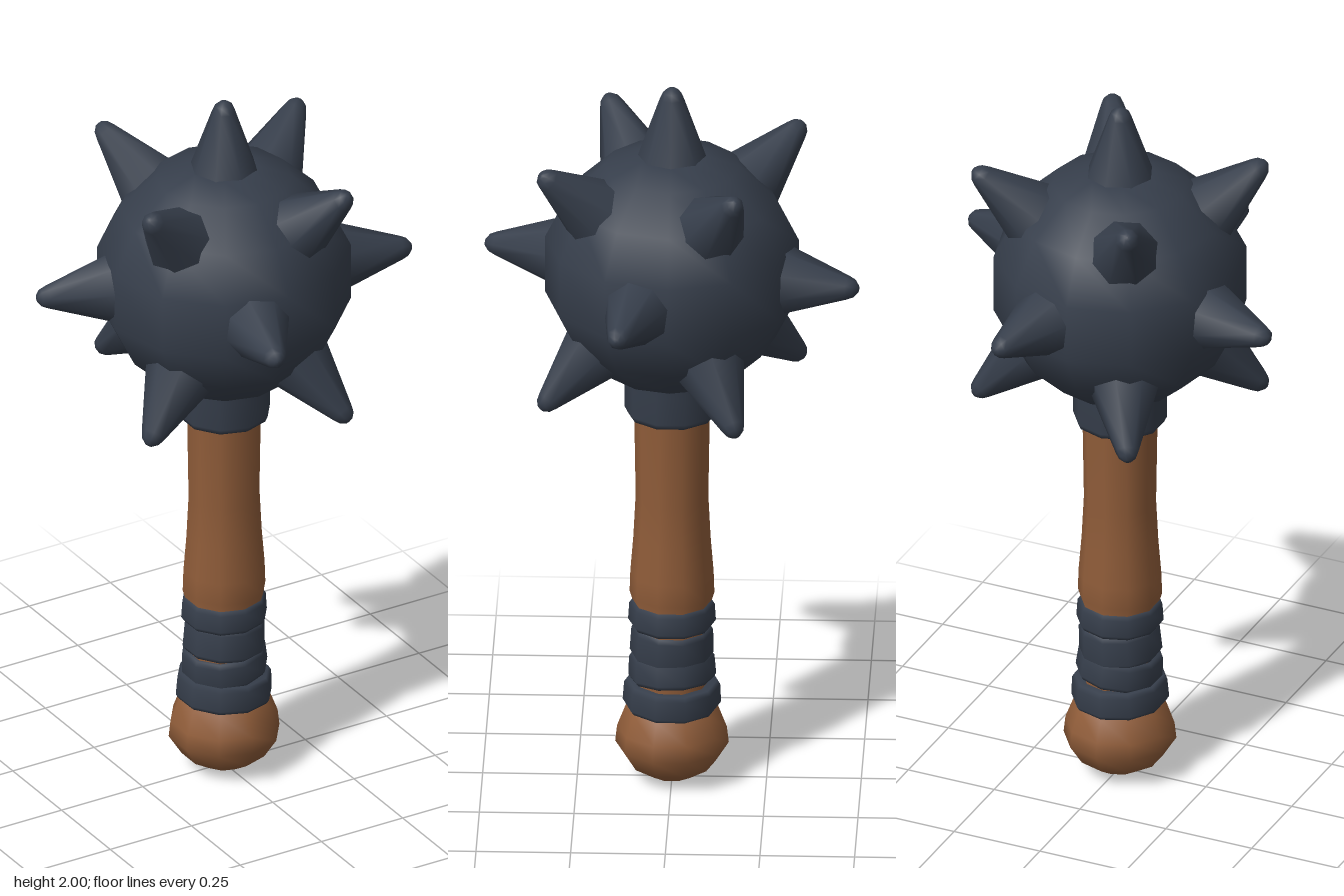
import * as THREE from 'three';

export function createModel() {
  const iron = new THREE.MeshStandardMaterial({ color: 0x363e4b });
  iron.name = 'dark iron';
  const wood = new THREE.MeshStandardMaterial({ color: 0x8f5c39 });
  wood.name = 'brown wood';
  const group = new THREE.Group();
  group.name = 'spikedMace';

  // Turned part from [radius, height] pairs, bottom to top
  const turned = (points, sides) =>
    new THREE.LatheGeometry(points.map(([r, y]) => new THREE.Vector2(r, y)), sides);
  const add = (name, geometry, material, y = 0) => {
    const mesh = new THREE.Mesh(geometry, material);
    mesh.name = name;
    mesh.position.y = y;
    group.add(mesh);
    return mesh;
  };

  // Wooden pommel and shaft
  add('pommel', turned([[0, 0.005], [0.06, 0.015], [0.115, 0.05], [0.15, 0.105],
    [0.145, 0.15], [0.122, 0.21], [0.09, 0.24]], 10), wood);
  add('shaft', turned([[0.1, 0.2], [0.1, 0.5], [0.112, 0.54], [0.11, 0.6],
    [0.102, 0.7], [0.096, 0.82], [0.1, 1.07], [0.1, 1.12]], 10), wood);

  // Grip bindings: [middle height, height, radius, tilt]
  const bands = [[0.25, 0.075, 0.13, -0.04], [0.328, 0.075, 0.116, 0.09],
    [0.402, 0.09, 0.111, -0.06], [0.483, 0.07, 0.116, 0]];
  bands.forEach(([y, h, r, tilt], i) => {
    const band = add('gripBand' + (i + 1), turned([[0.09, -h / 2], [r - 0.008, -h / 2],
      [r, -h / 2 + 0.012], [r - 0.003, h / 2 - 0.012], [r - 0.011, h / 2], [0.09, h / 2]], 10), iron, y);
    band.rotation.set(tilt * 0.4, 0, tilt);
  });

  // Collar below the head
  add('collar', turned([[0.09, 1.06], [0.118, 1.06], [0.125, 1.075], [0.125, 1.15],
    [0.13, 1.22]], 10), iron);

  // Faceted ball
  const headY = 1.485;
  add('head', turned([[0, -0.325], [0.09, -0.32], [0.18, -0.29], [0.275, -0.2], [0.335, -0.08],
    [0.335, 0.08], [0.275, 0.2], [0.18, 0.29], [0.09, 0.32], [0, 0.325]], 12), iron, headY);

  // Blunt spikes: one on top, then three rings of four
  const spikeShape = turned([[0.112, 0.27], [0.09, 0.32], [0.032, 0.485],
    [0.024, 0.503], [0.01, 0.514], [0, 0.515]], 8);
  const up = new THREE.Vector3(0, 1, 0);
  const addSpike = (name, direction) =>
    add(name, spikeShape, iron, headY).quaternion.setFromUnitVectors(up, direction.normalize());
  addSpike('topSpike', new THREE.Vector3(0, 1, 0));
  for (let i = 0; i < 4; i++) {
    const turn = i * Math.PI / 2;
    const rings = [['middleSpike', 0, 0.26], ['upperSpike', 0.72, -0.49], ['lowerSpike', -0.72, -0.49]];
    for (const [name, lift, start] of rings) {
      const a = turn + start;
      addSpike(name + (i + 1), new THREE.Vector3(
        Math.cos(a) * Math.cos(lift), Math.sin(lift), Math.sin(a) * Math.cos(lift)));
    }
  }
  return group;
}
